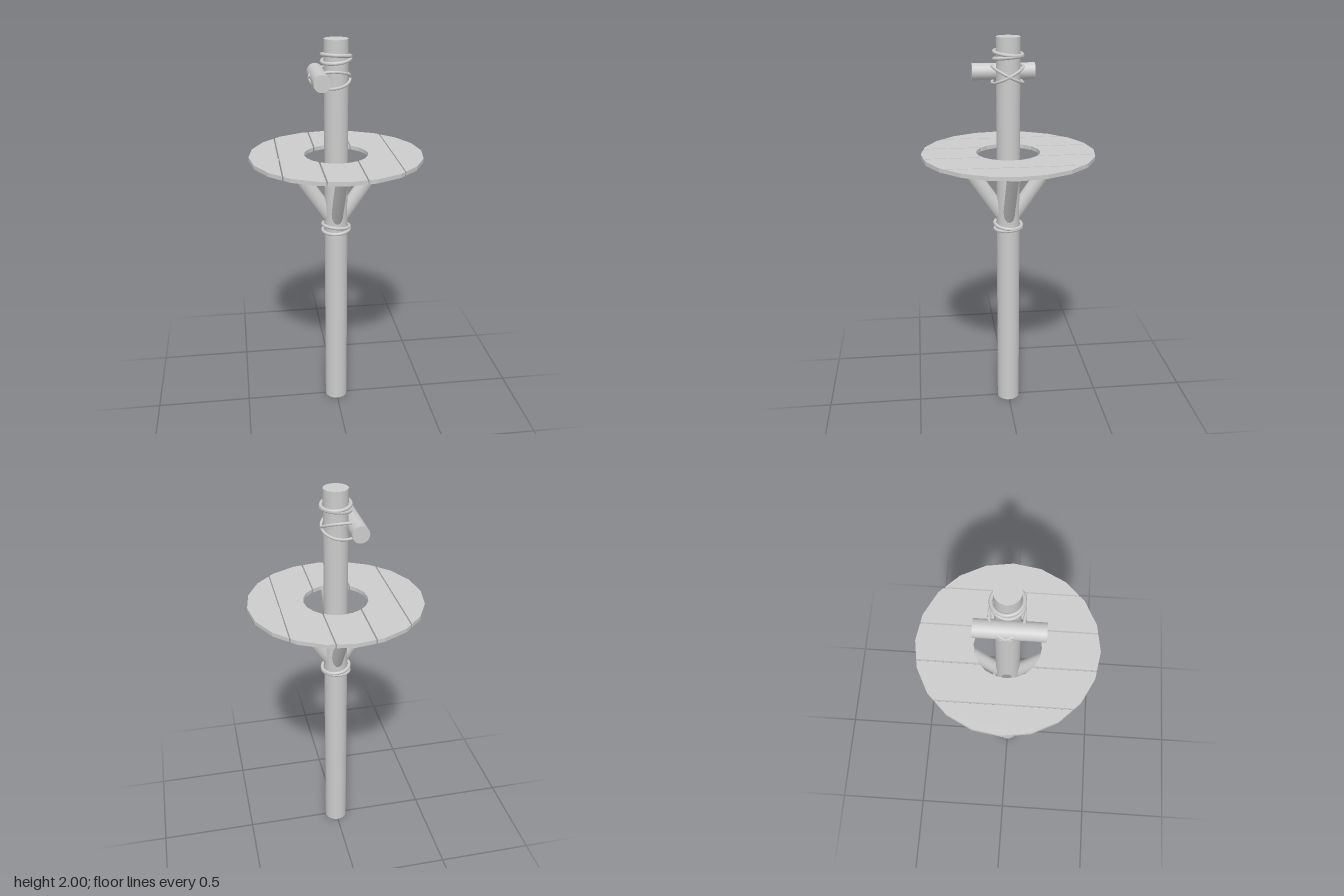
import * as THREE from 'three';

const material = new THREE.MeshStandardMaterial({ color: 0xcccccc });

function add(parent, name, geometry) {
  const mesh = new THREE.Mesh(geometry, material);
  mesh.name = name;
  parent.add(mesh);
  return mesh;
}

// Closed rope loop around a vertical axis, tilted by a rise along x and z
function ropeLoop({ x = 0, y, rx = 0.07, rz = 0.07, riseX = 0, riseZ = 0, tube = 0.009 }) {
  const points = [];
  for (let i = 0; i < 20; i++) {
    const a = (i / 20) * Math.PI * 2;
    const c = Math.cos(a), s = Math.sin(a);
    points.push(new THREE.Vector3(x + rx * c, y + riseX * c + riseZ * s, rz * s));
  }
  return new THREE.TubeGeometry(new THREE.CatmullRomCurve3(points, true), 40, tube, 8, true);
}

// Half-depth of a 20-sided disc of radius r at position x
const SIDES = 20;
function halfDepth(r, x) {
  for (let i = 0; i < SIDES / 2; i++) {
    const a = (i / SIDES) * Math.PI * 2, b = ((i + 1) / SIDES) * Math.PI * 2;
    const xa = r * Math.cos(a), xb = r * Math.cos(b);
    if (x <= xa + 1e-9 && x >= xb - 1e-9) {
      return r * THREE.MathUtils.lerp(Math.sin(a), Math.sin(b), (xa - x) / (xa - xb));
    }
  }
  return 0;
}

// Points on the disc edge between x0 and x1, ascending in x
function edge(r, x0, x1, sign) {
  const lo = Math.max(x0, -r), hi = Math.min(x1, r);
  if (lo >= hi) return [];
  const xs = [lo];
  for (let i = SIDES / 2; i >= 0; i--) {
    const x = r * Math.cos((i / SIDES) * Math.PI * 2);
    if (x > lo + 1e-4 && x < hi - 1e-4) xs.push(x);
  }
  xs.push(hi);
  return xs.map((x) => new THREE.Vector2(x, sign * halfDepth(r, x)));
}

// Outlines of one plank cut from the ring
function plankShapes(x0, x1, outer, inner) {
  const upper = edge(outer, x0, x1, 1), lower = edge(outer, x0, x1, -1);
  const holeUp = edge(inner, x0, x1, 1), holeLow = edge(inner, x0, x1, -1);
  if (x0 > -inner && x1 < inner) {
    return [
      new THREE.Shape([...upper, ...holeUp.reverse()]),
      new THREE.Shape([...lower, ...holeLow.reverse()]),
    ];
  }
  const outline = [...upper];
  if (holeUp.length && x1 < inner) outline.push(...holeUp.reverse(), ...holeLow.slice(1));
  outline.push(...lower.reverse());
  if (holeUp.length && x0 > -inner) outline.push(...holeLow, ...holeUp.reverse().slice(1));
  // Drop repeated points at the tips of the disc
  return [new THREE.Shape(outline.filter((p, i) =>
    p.distanceTo(outline[(i + 1) % outline.length]) > 1e-5))];
}

export function createModel() {
  const model = new THREE.Group();
  model.name = 'mastWithPlatform';

  // Mast
  add(model, 'mast', new THREE.CylinderGeometry(0.06, 0.06, 2, 24)).position.y = 1;

  // Round plank platform with a central opening
  const platform = new THREE.Group();
  platform.name = 'platform';
  model.add(platform);
  const planks = [[-0.44, -0.296], [-0.289, -0.103], [-0.095, 0.088], [0.095, 0.282], [0.288, 0.44]];
  planks.forEach(([x0, x1], i) => {
    const geometry = new THREE.ExtrudeGeometry(plankShapes(x0, x1, 0.44, 0.162), {
      depth: 0.02, bevelEnabled: false,
    });
    geometry.rotateX(-Math.PI / 2);
    add(platform, `plank${i + 1}`, geometry).position.y = 1.41;
  });

  // Four slanted braces, sheared so both ends are level
  const bottom = 1.03, top = 1.412;
  for (let i = 0; i < 4; i++) {
    const geometry = new THREE.CylinderGeometry(1, 1, top - bottom, 16);
    geometry.scale(0.046, 1, 0.03);
    const shear = new THREE.Matrix4().makeShear(0, 0, 0.68, 0, 0, 0);
    shear.elements[4] = 0.68;
    shear.elements[1] = 0;
    geometry.applyMatrix4(shear);
    geometry.translate(0.118, (top + bottom) / 2, 0);
    geometry.rotateY((i * Math.PI) / 2);
    add(model, `brace${i + 1}`, geometry);
  }

  // Cross peg beside the mast
  const peg = add(model, 'crossPeg', new THREE.CylinderGeometry(0.042, 0.042, 0.315, 20));
  peg.rotation.x = Math.PI / 2;
  peg.position.set(-0.088, 1.82, 0.015);

  // Rope lashings: under the braces, around the peg, near the top
  const ropes = new THREE.Group();
  ropes.name = 'ropeLashings';
  model.add(ropes);
  [
    { y: 1.022, riseX: 0.004, riseZ: -0.004 },
    { y: 1.044, riseX: -0.008, riseZ: 0.006 },
    { y: 1.9, riseX: 0.008, riseZ: -0.006 },
    { y: 1.922, riseX: -0.005, riseZ: 0.008 },
    { y: 1.815, x: -0.031, rx: 0.1, rz: 0.077, riseZ: 0.04, tube: 0.007 },
    { y: 1.815, x: -0.031, rx: 0.1, rz: 0.077, riseZ: -0.04, tube: 0.007 },
  ].forEach((loop, i) => add(ropes, `ropeLoop${i + 1}`, ropeLoop(loop)));

  return model;
}
